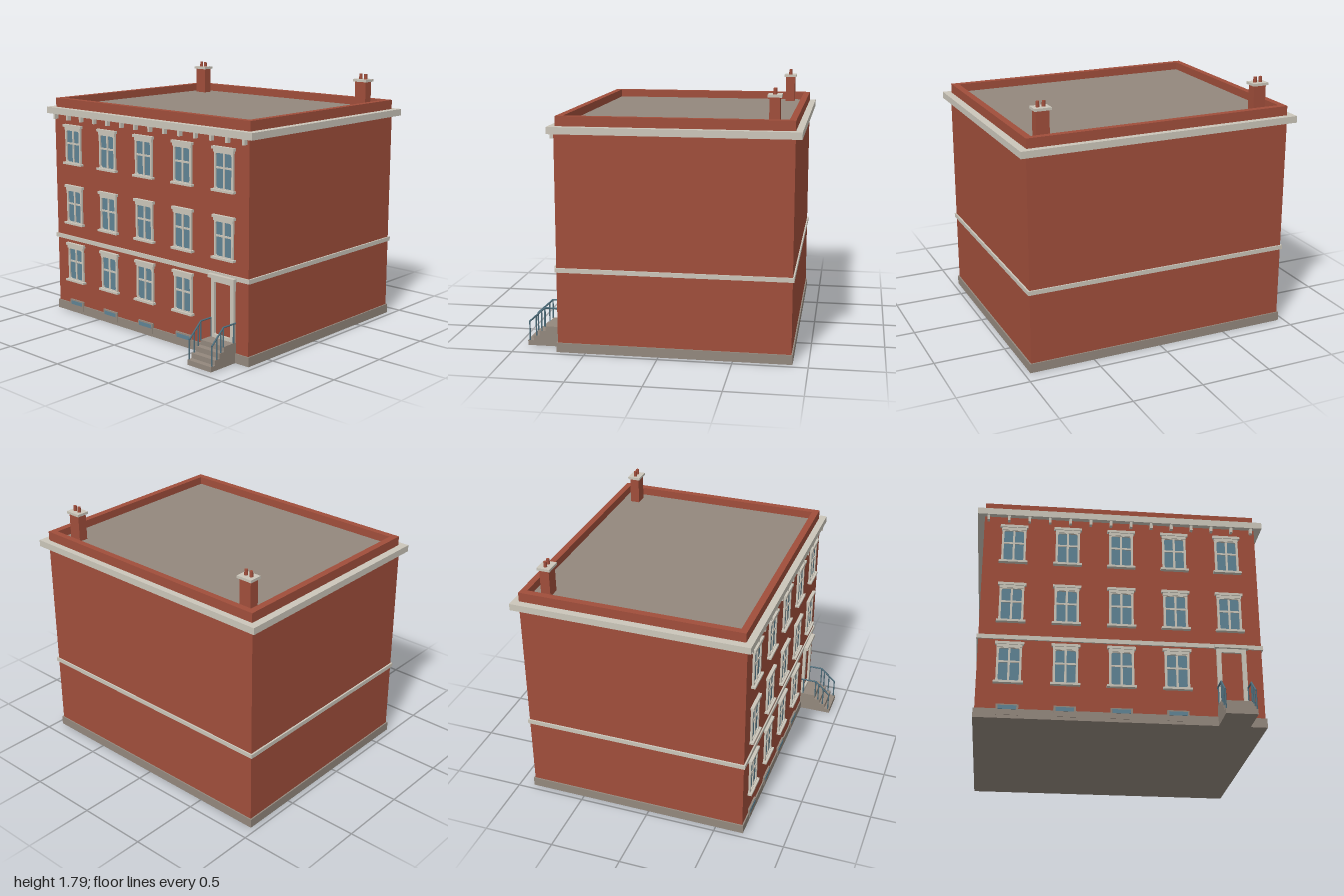
import * as THREE from 'three';

const mat = (name, color, side = THREE.FrontSide) => {
  const m = new THREE.MeshStandardMaterial({ color, side });
  m.name = name;
  return m;
};

export function createModel() {
  const brick = mat('brick', 0xa04e3b);
  const trim = mat('pale stone', 0xcbc6ba);
  const stone = mat('grey stone', 0x93887d);
  const glass = mat('glass', 0x5f8394);
  const iron = mat('railing iron', 0x4f6e7c);

  const FRONT = 0.69, BACK = -0.887;
  const root = new THREE.Group();
  root.name = 'townhouse';

  const add = (parent, name, geometry, material) => {
    const mesh = new THREE.Mesh(geometry, material);
    mesh.name = name;
    parent.add(mesh);
    return mesh;
  };
  // Box given by its limits on each axis
  const box = (parent, name, material, x0, x1, y0, y1, z0, z1) => {
    const mesh = add(parent, name, new THREE.BoxGeometry(x1 - x0, y1 - y0, z1 - z0), material);
    mesh.position.set((x0 + x1) / 2, (y0 + y1) / 2, (z0 + z1) / 2);
    return mesh;
  };
  const group = (name, x = 0, y = 0, z = 0) => {
    const g = new THREE.Group();
    g.name = name;
    g.position.set(x, y, z);
    root.add(g);
    return g;
  };
  const trace = (path, x0, x1, y0, y1, r = 0) => {
    path.moveTo(x0 + r, y0).lineTo(x1 - r, y0);
    if (r) path.quadraticCurveTo(x1, y0, x1, y0 + r);
    path.lineTo(x1, y1 - r);
    if (r) path.quadraticCurveTo(x1, y1, x1 - r, y1);
    path.lineTo(x0 + r, y1);
    if (r) path.quadraticCurveTo(x0, y1, x0, y1 - r);
    path.lineTo(x0, y0 + r);
    if (r) path.quadraticCurveTo(x0, y0, x0 + r, y0);
    return path;
  };
  // Rectangular frame with an opening, extruded along z
  const frame = (outer, inner, depth, r) => {
    const shape = trace(new THREE.Shape(), ...outer);
    shape.holes.push(trace(new THREE.Path(), ...inner, r));
    return new THREE.ExtrudeGeometry(shape, { depth, bevelEnabled: false, curveSegments: 4 });
  };

  // Main mass and horizontal bands
  box(root, 'plinth', stone, -0.96, 0.96, 0, 0.065, BACK - 0.009, FRONT + 0.009);
  box(root, 'brickWalls', brick, -0.95, 0.95, 0.03, 1.5, BACK, FRONT);
  box(root, 'stringCourse', trim, -0.962, 0.962, 0.557, 0.587, BACK - 0.01, FRONT + 0.01);
  box(root, 'cornice', trim, -1, 1, 1.493, 1.54, -0.932, 0.727);

  // Parapet and flat roof
  const parapet = add(root, 'parapet',
    frame([-0.947, 0.947, BACK, 0.68], [-0.9, 0.9, -0.843, 0.633], 0.068, 0), brick);
  parapet.rotation.x = Math.PI / 2;
  parapet.scale.y = 1;
  parapet.position.y = 1.606;
  box(root, 'flatRoof', stone, -0.902, 0.902, 1.535, 1.55, -0.845, 0.635);

  // Cornice brackets
  const brackets = group('corniceBrackets');
  for (let i = 0; i < 14; i++) {
    const x = -0.923 + i * 0.142;
    box(brackets, 'bracket', trim, x - 0.009, x + 0.009, 1.455, 1.495, FRONT - 0.005, 0.72);
  }

  // Windows, five bays by three storeys, the door taking the last ground bay
  const frameGeo = frame([-0.083, 0.083, 0.01, 0.27], [-0.068, 0.068, 0.02, 0.25], 0.014, 0.016);
  const bays = [-0.742, -0.371, 0, 0.371, 0.742];
  [0.24, 0.68, 1.13].forEach((y, floor) => bays.forEach((x, bay) => {
    if (floor === 0 && bay === 4) return;
    const w = group('window', x, y, FRONT);
    box(w, 'windowGlass', glass, -0.075, 0.075, 0.015, 0.26, -0.003, 0.004);
    add(w, 'windowFrame', frameGeo, trim);
    box(w, 'mullion', trim, -0.007, 0.007, 0.015, 0.26, 0, 0.011);
    box(w, 'transom', trim, -0.07, 0.07, 0.149, 0.162, 0, 0.01);
    box(w, 'windowSill', trim, -0.098, 0.098, 0, 0.015, -0.005, 0.03);
    box(w, 'lintel', trim, -0.085, 0.085, 0.255, 0.277, -0.005, 0.018);
    box(w, 'lintelCap', trim, -0.096, 0.096, 0.275, 0.294, -0.005, 0.024);
  }));

  // Basement lights set into the plinth
  bays.slice(0, 4).forEach((x) => {
    const b = group('basementWindow', x, 0, FRONT);
    box(b, 'basementSurround', stone, -0.073, 0.073, 0.022, 0.096, -0.01, 0.013);
    box(b, 'basementGlass', glass, -0.06, 0.06, 0.06, 0.087, 0.01, 0.016);
  });

  // Entrance door
  const door = group('entrance', 0.74, 0, FRONT);
  box(door, 'doorLeaf', brick, -0.08, 0.08, 0.14, 0.54, -0.005, 0.006);
  add(door, 'doorFrame', frame([-0.1, 0.1, 0.14, 0.55], [-0.07, 0.07, 0.163, 0.523], 0.022, 0.01), trim);
  box(door, 'doorHood', trim, -0.115, 0.115, 0.55, 0.574, -0.005, 0.04);

  // Steps, rising towards the door
  const stairs = group('frontSteps', 0.74);
  [0.932, 0.892, 0.849, 0.806].forEach((z, i) =>
    box(stairs, 'step', stone, -0.105, 0.105, 0, 0.035 * (i + 1), FRONT - 0.01, z));

  // Railings on both sides of the steps
  const bar = (parent, name, a, b, r) => {
    const from = new THREE.Vector3(...a), to = new THREE.Vector3(...b);
    const mesh = add(parent, name, new THREE.CylinderGeometry(r, r, from.distanceTo(to), 8), iron);
    mesh.position.copy(from).add(to).multiplyScalar(0.5);
    mesh.quaternion.setFromUnitVectors(new THREE.Vector3(0, 1, 0), to.sub(from).normalize());
  };
  for (const side of [-1, 1]) {
    const r = group('railing', 0.74 + side * 0.1);
    // Each post: z, foot height, rail height
    const posts = [[0.918, 0.03, 0.168], [0.872, 0.065, 0.211], [0.833, 0.1, 0.247],
      [0.808, 0.135, 0.27], [0.71, 0.135, 0.27]];
    posts.forEach(([z, y0, y1]) => bar(r, 'railingPost', [0, y0, z], [0, y1, z], 0.005));
    bar(r, 'slopingRail', [0, 0.168, 0.92], [0, 0.27, 0.808], 0.006);
    bar(r, 'levelRail', [0, 0.27, 0.81], [0, 0.27, FRONT], 0.006);
  }

  // Chimneys with capstones and paired pots
  for (const side of [-1, 1]) {
    const c = group('chimney', side * 0.792, 0, -0.742);
    box(c, 'chimneyStack', brick, -0.046, 0.046, 1.54, 1.742, -0.034, 0.034);
    box(c, 'chimneyCap', trim, -0.058, 0.058, 1.739, 1.757, -0.046, 0.046);
    for (const x of [-0.021, 0.021]) {
      const pot = add(c, 'chimneyPot', new THREE.CylinderGeometry(0.011, 0.013, 0.042, 12), brick);
      pot.position.set(x, 1.774, 0);
    }
  }
  return root;
}
